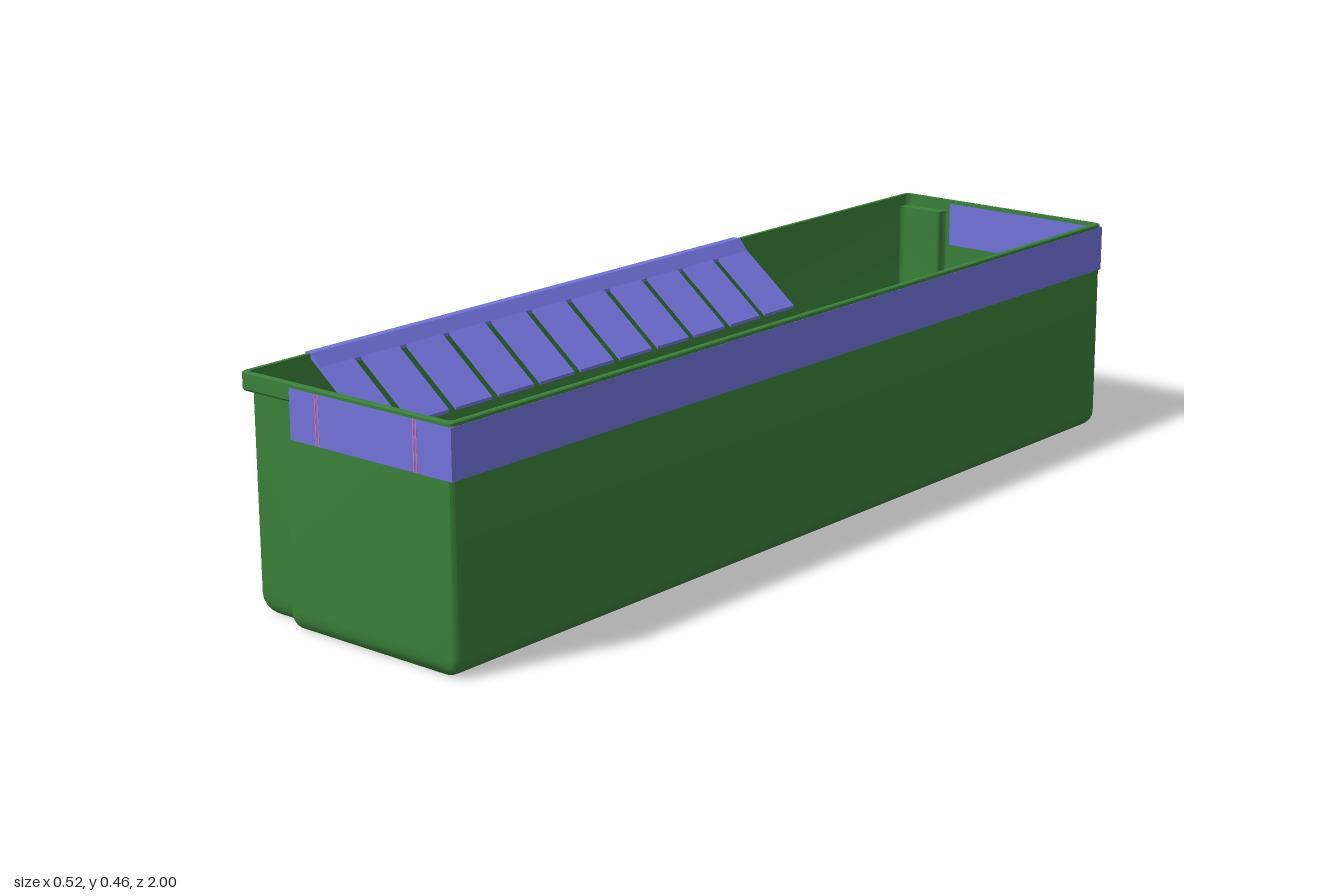
import * as THREE from 'three';
import { toCreasedNormals } from 'three/addons/utils/BufferGeometryUtils.js';

const material = (name, color, side = THREE.FrontSide) => {
  const m = new THREE.MeshStandardMaterial({ color, side });
  m.name = name;
  return m;
};

// Plan outline of the bin: a rectangle with two stepped corners on -x, all rounded
function outline(insetX, insetZ, depth, radius) {
  const x = 0.259 - insetX, z = 0.999 - insetZ, step = -0.155 + insetZ;
  const corners = [
    [x, z], [x, -z], [step, -z], [step, -z + depth],
    [-x, -z + depth], [-x, z - depth], [step, z - depth], [step, z],
  ].map(([a, b]) => new THREE.Vector2(a, b));
  const points = [];
  corners.forEach((p, i) => {
    const a = corners[(i + 7) % 8].clone().sub(p), b = corners[(i + 1) % 8].clone().sub(p);
    const r = Math.min(radius, a.length() / 2, b.length() / 2);
    const start = p.clone().add(a.setLength(r)), end = p.clone().add(b.setLength(r));
    points.push(...new THREE.QuadraticBezierCurve(start, p, end).getPoints(4));
  });
  return points;
}

// Joins successive rings {y, points} with quads
function loft(rings) {
  const positions = [];
  const triangle = (a, b, c) => {
    const area = b.clone().sub(a).cross(c.clone().sub(a)).length();
    if (area > 1e-9) [a, b, c].forEach((p) => positions.push(p.x, p.y, p.z));
  };
  const loops = rings.map(({ y, points }) => points.map((p) => new THREE.Vector3(p.x, y, p.y)));
  for (let i = 0; i < loops.length - 1; i++) {
    const low = loops[i], high = loops[i + 1];
    low.forEach((a, j) => {
      const k = (j + 1) % low.length;
      triangle(a, low[k], high[k]);
      triangle(a, high[k], high[j]);
    });
  }
  const geometry = new THREE.BufferGeometry();
  geometry.setAttribute('position', new THREE.Float32BufferAttribute(positions, 3));
  return toCreasedNormals(geometry, 0.6);
}

function binGeometry() {
  const rings = [];
  const recess = 0.025, wall = 0.01;
  const ring = (y, ix, iz, depth = recess, r = 0.012) =>
    rings.push({ y, points: outline(ix, iz, depth, r) });
  const cap = (y) => rings.push({ y, points: rings[rings.length - 1].points.map(() => new THREE.Vector2()) });
  // Underside and rounded bottom edge
  ring(0, 0.035, 0.015);
  const first = rings.pop();
  rings.push({ y: 0, points: first.points.map(() => new THREE.Vector2()) }, first);
  for (let i = 1; i <= 5; i++) {
    const a = (i / 5) * Math.PI / 2;
    ring(0.035 * (1 - Math.cos(a)), 0.035 * (1 - Math.sin(a)), 0.015 * (1 - Math.sin(a)));
  }
  // Outer wall, overhanging rim and inner wall
  ring(0.42, 0, 0);
  ring(0.42, 0, 0.003, 0);
  ring(0.424, 0, 0, 0);
  ring(0.453, 0, 0, 0);
  ring(0.455, 0.002, 0.002, 0);
  ring(0.455, wall, wall, 0);
  ring(0.43, wall, wall, 0);
  ring(0.43, wall, wall);
  ring(0.04, wall, wall);
  // Floor
  ring(0.02, wall + 0.006, wall + 0.003);
  ring(0.012, wall + 0.026, wall + 0.012);
  cap(0.012);
  return loft(rings);
}

// Extrudes an x-y profile from z0 to z1
function extrudeZ(points, z0, z1) {
  const shape = new THREE.Shape(points.map(([x, y]) => new THREE.Vector2(x, y)));
  return new THREE.ExtrudeGeometry(shape, { depth: z1 - z0, bevelEnabled: false }).translate(0, 0, z0);
}

export function createModel() {
  const model = new THREE.Group();
  model.name = 'storageBin';
  const green = material('bin green', 0x3a803a, THREE.DoubleSide);
  const blue = material('label blue', 0x7272dc);
  const pink = material('marker pink', 0xe070a0);
  const add = (name, geometry, mat, parent = model) => {
    const mesh = new THREE.Mesh(geometry, mat);
    mesh.name = name;
    parent.add(mesh);
    return mesh;
  };

  add('binShell', binGeometry(), green);

  // Low ribs along the floor
  for (const x of [-0.19, -0.095, 0, 0.095, 0.19]) {
    add('floorRib', new THREE.BoxGeometry(0.018, 0.01, 1.82).translate(x, 0.014, 0), green);
  }

  // U-shaped band around the front, left side and back, showing inside and out
  const band = new THREE.Shape([
    [-0.132, 1], [-0.132, 0.988], [0.248, 0.988], [0.248, -0.988],
    [-0.132, -0.988], [-0.132, -1], [0.26, -1], [0.26, 1],
  ].map(([x, z]) => new THREE.Vector2(x, z)));
  const bandGeometry = new THREE.ExtrudeGeometry(band, { depth: 0.094, bevelEnabled: false });
  add('labelBand', bandGeometry.rotateX(-Math.PI / 2).translate(0, 0.353, 0), blue);

  // Fine marker lines on the front of the band
  for (const x of [-0.067, -0.06, 0.171, 0.178]) {
    add('markerLine', new THREE.BoxGeometry(0.0025, 0.094, 0.001).translate(x, 0.4, 1), pink);
  }

  // Sloping slotted holder hooked over the right rim
  const holder = new THREE.Group();
  holder.name = 'slottedHolder';
  model.add(holder);
  const slope = (x) => 0.453 - (x + 0.25) * 0.79;
  const z0 = -0.38, z1 = 0.84, slots = 10, slotWidth = 0.018, split = -0.225, tip = -0.1;
  add('holderHook', extrudeZ([
    [-0.262, 0.437], [-0.2585, 0.437], [-0.2585, 0.4555], [-0.252, 0.4555], [-0.248, 0.445],
    [split, slope(split) - 0.006], [split, slope(split)], [-0.245, 0.457], [-0.262, 0.457],
  ], z0, z1), blue, holder);
  for (let i = 0; i <= slots; i++) {
    const centre = (k) => -0.275 + k * 0.1135;
    const from = i === 0 ? z0 : centre(i - 1) + slotWidth / 2;
    const to = i === slots ? z1 : centre(i) - slotWidth / 2;
    add('holderTooth', extrudeZ([
      [split, slope(split) - 0.006], [tip, slope(tip) - 0.006], [tip, slope(tip)], [split, slope(split)],
    ], from, to), blue, holder);
  }
  return model;
}
